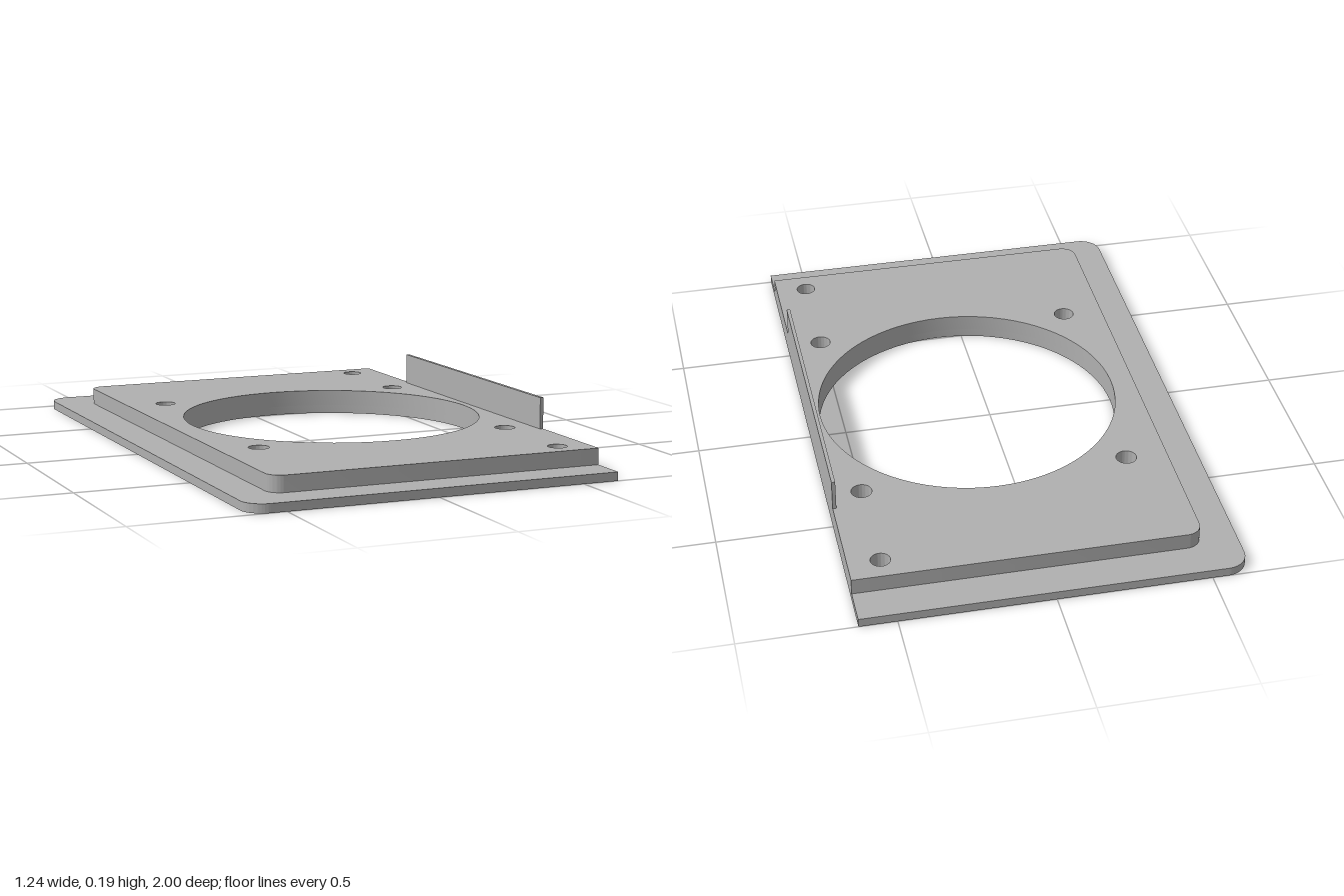
import * as THREE from 'three';
import { toCreasedNormals } from 'three/addons/utils/BufferGeometryUtils.js';

const RIGHT = 0.622; // straight edge shared by every layer

// Screw holes [x, z, radius], mirrored across z
const HOLES = [[-0.365, 0.44, 0.034], [0.517, 0.44, 0.034], [0.517, 0.797, 0.032]];

// Slab with two rounded corners on the -x side, pierced by all the holes
function slab(left, halfDepth, radius, bottom, top) {
  const s = new THREE.Shape();
  s.moveTo(RIGHT, -halfDepth);
  s.lineTo(RIGHT, halfDepth);
  s.lineTo(left + radius, halfDepth);
  s.absarc(left + radius, halfDepth - radius, radius, Math.PI / 2, Math.PI, false);
  s.lineTo(left, -halfDepth + radius);
  s.absarc(left + radius, -halfDepth + radius, radius, Math.PI, Math.PI * 1.5, false);
  s.closePath();

  const addHole = (x, z, r) => {
    const hole = new THREE.Path();
    hole.absarc(x, z, r, 0, Math.PI * 2, true);
    s.holes.push(hole);
  };
  addHole(0.08, 0, 0.505);
  for (const [x, z, r] of HOLES) for (const side of [-1, 1]) addHole(x, side * z, r);

  const geo = new THREE.ExtrudeGeometry(s, { depth: top - bottom, bevelEnabled: false, curveSegments: 40 });
  geo.rotateX(-Math.PI / 2);
  geo.translate(0, bottom, 0);
  return toCreasedNormals(geo, 0.6);
}

export function createModel() {
  const group = new THREE.Group();
  group.name = 'mountingPlate';
  const grey = new THREE.MeshStandardMaterial({ color: 0xb0b0b0 });
  grey.name = 'grey';

  const add = (name, geo) => {
    const mesh = new THREE.Mesh(geo, grey);
    mesh.name = name;
    group.add(mesh);
  };

  add('basePlate', slab(-0.622, 1, 0.07, 0, 0.029));
  add('raisedPlate', slab(-0.502, 0.877, 0.05, 0.029, 0.083));

  // Thin upright lip along the straight edge
  const lip = new THREE.BoxGeometry(0.012, 0.105, 1.024);
  lip.translate(RIGHT - 0.006, 0.083 + 0.0525, 0);
  add('edgeLip', lip);

  return group;
}
